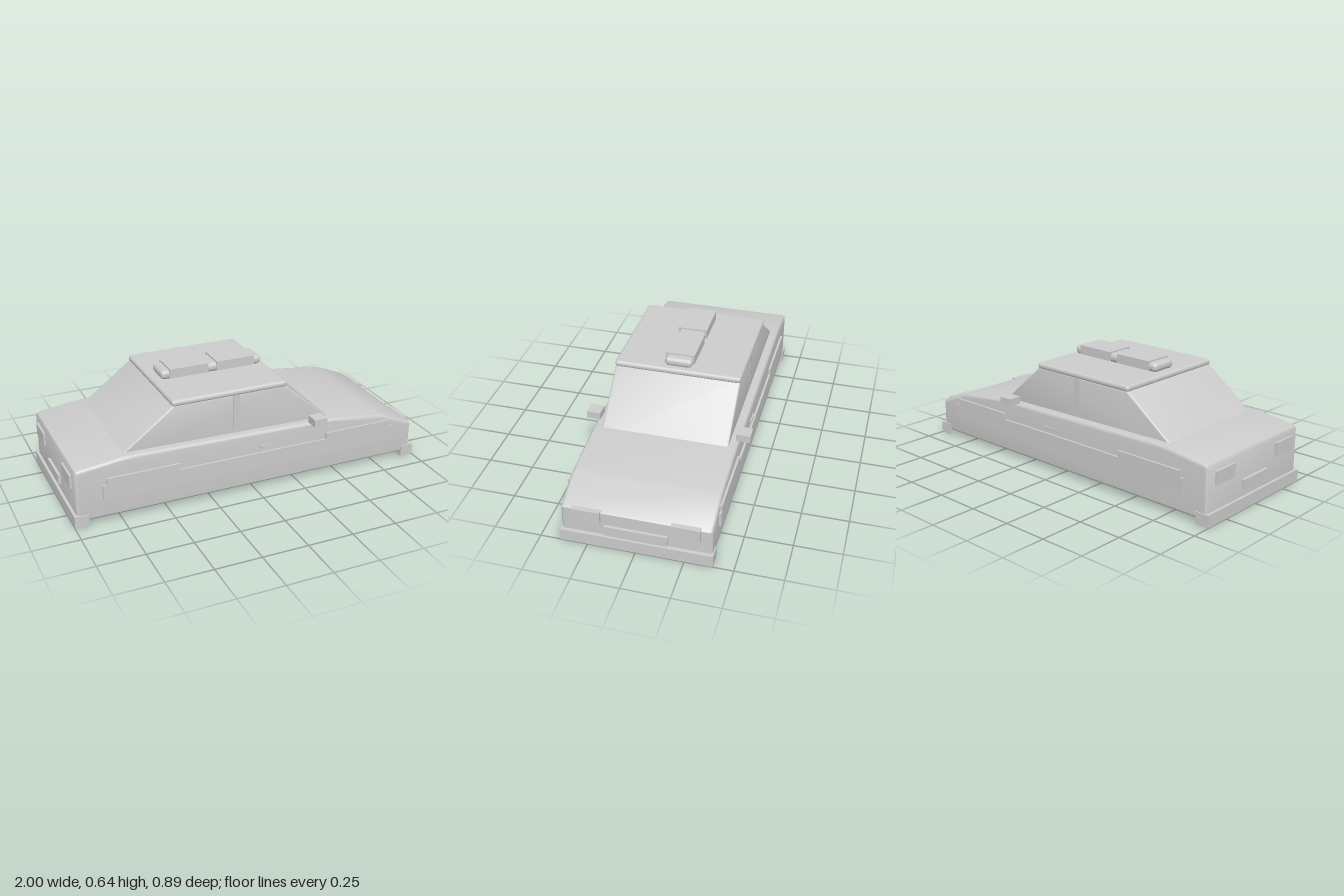
import * as THREE from 'three';
import { toCreasedNormals } from 'three/addons/utils/BufferGeometryUtils.js';
import { RoundedBoxGeometry } from 'three/addons/geometries/RoundedBoxGeometry.js';

const grey = new THREE.MeshStandardMaterial({ color: 0xcccccc });
grey.name = 'light grey';

export function createModel() {
  const car = new THREE.Group();
  car.name = 'car';

  const add = (name, geometry, x = 0, y = 0, z = 0) => {
    const mesh = new THREE.Mesh(geometry, grey);
    mesh.name = name;
    mesh.position.set(x, y, z);
    car.add(mesh);
    return mesh;
  };

  // Box given by its limits on each axis; radius rounds its edges
  const box = (name, [x0, x1], [y0, y1], [z0, z1], radius = 0) => {
    const size = [x1 - x0, y1 - y0, z1 - z0];
    const geometry = radius
      ? new RoundedBoxGeometry(...size, 4, radius)
      : new THREE.BoxGeometry(...size);
    return add(name, geometry, (x0 + x1) / 2, (y0 + y1) / 2, (z0 + z1) / 2);
  };

  // Same box on both sides of the car
  const pair = (name, xs, ys, [z0, z1]) => {
    box(name + 'Left', xs, ys, [z0, z1]);
    box(name + 'Right', xs, ys, [-z1, -z0]);
  };

  // Side profile extruded across the car with rounded side edges
  const hull = (name, points, halfWidth, bevel) => {
    const shape = new THREE.Shape(points.map(([x, y]) => new THREE.Vector2(x, y)));
    const geometry = new THREE.ExtrudeGeometry(shape, {
      depth: 2 * (halfWidth - bevel),
      bevelSize: bevel,
      bevelThickness: bevel,
      bevelOffset: -bevel,
      bevelSegments: 4,
    });
    geometry.translate(0, 0, bevel - halfWidth);
    add(name, toCreasedNormals(geometry, 0.55));
  };

  // Lower body: trunk, waist and sloping hood
  hull('body', [
    [-0.985, 0.025], [0.98, 0.025], [0.98, 0.2], [0.968, 0.212],
    [0.8, 0.281], [0.77, 0.288], [0.46, 0.325], [-0.66, 0.346], [-0.74, 0.344],
    [-0.955, 0.317], [-0.977, 0.31], [-0.985, 0.295],
  ], 0.388, 0.018);

  // Cabin with slanted front and rear windows, and the roof slab
  hull('cabin', [[-0.783, 0.29], [0.5, 0.29], [0.194, 0.555], [-0.434, 0.555]], 0.342, 0.012);
  box('roof', [-0.445, 0.205], [0.545, 0.58], [-0.345, 0.345], 0.016);
  pair('doorPillar', [-0.105, -0.07], [0.32, 0.55], [0.335, 0.344]);

  // Roof light bar with two lamp covers
  box('lightBar', [-0.4, 0.18], [0.578, 0.628], [-0.075, 0.075], 0.022);
  box('rearLampCover', [-0.355, -0.135], [0.585, 0.636], [-0.08, 0.08]);
  box('frontLampCover', [-0.085, 0.135], [0.585, 0.636], [-0.08, 0.08]);

  // Raised side panels, handles and mirrors
  pair('sidePanel', [-0.845, 0.85], [0.135, 0.215], [0.38, 0.4]);
  pair('rearSidePanel', [-0.825, -0.43], [0.215, 0.25], [0.38, 0.4]);
  pair('frontSidePanel', [0.425, 0.83], [0.215, 0.25], [0.38, 0.4]);
  pair('doorHandle', [0.03, 0.11], [0.234, 0.251], [0.38, 0.395]);
  pair('mirror', [0.325, 0.4], [0.325, 0.366], [0.37, 0.445]);

  // Bumpers, lights and blank plates at both ends
  box('frontBumper', [0.925, 1], [0, 0.066], [-0.395, 0.395]);
  box('rearBumper', [-1, -0.925], [0, 0.066], [-0.395, 0.395]);
  pair('headlight', [0.96, 0.997], [0.145, 0.212], [0.18, 0.33]);
  pair('tailLight', [-0.997, -0.96], [0.2, 0.272], [0.18, 0.33]);
  box('frontPlate', [0.96, 0.995], [0.073, 0.13], [-0.163, 0.163]);
  box('rearPlate', [-1, -0.96], [0.105, 0.16], [-0.103, 0.103]);

  return car;
}
